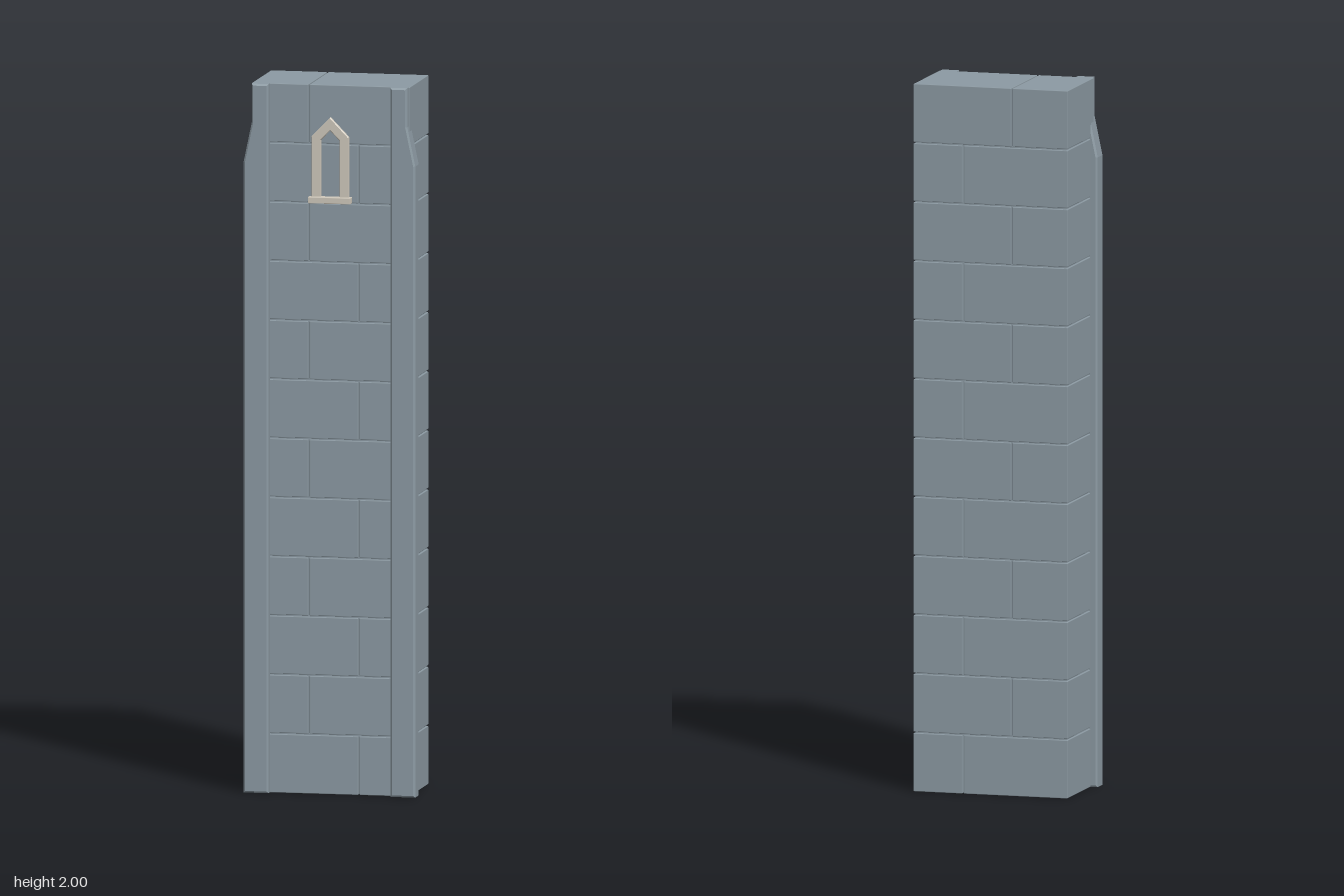
import * as THREE from 'three';
import { RoundedBoxGeometry } from 'three/addons/geometries/RoundedBoxGeometry.js';

const stone = new THREE.MeshStandardMaterial({ color: 0x8c9aa3 });
stone.name = 'blue grey stone';
const trim = new THREE.MeshStandardMaterial({ color: 0xcfc8bb });
trim.name = 'pale limestone';

const HALF_W = 0.225, BACK = -0.138, FRONT = 0.113, ROWS = 12;

function add(parent, name, geometry, material, x = 0, y = 0, z = 0) {
  const mesh = new THREE.Mesh(geometry, material);
  mesh.name = name;
  mesh.position.set(x, y, z);
  parent.add(mesh);
  return mesh;
}

// Outline extruded from z0 to z1, with its chamfer kept inside the outline
function extrude(points, z0, z1, bevel, hole) {
  const shape = new THREE.Shape(points.map(([x, y]) => new THREE.Vector2(x, y)));
  if (hole) shape.holes.push(new THREE.Path(hole.map(([x, y]) => new THREE.Vector2(x, y))));
  const geometry = new THREE.ExtrudeGeometry(shape, {
    depth: z1 - z0 - 2 * bevel, bevelEnabled: bevel > 0,
    bevelThickness: bevel, bevelSize: bevel, bevelOffset: -bevel, bevelSegments: 1,
  });
  return geometry.translate(0, 0, z0 + bevel);
}

// Pointed-arch outline standing on y = base
const arch = (half, base, shoulder, apex) =>
  [[-half, base], [half, base], [half, shoulder], [0, apex], [-half, shoulder]];

export function createModel() {
  const model = new THREE.Group();
  model.name = 'stone wall pillar';
  const depth = FRONT - BACK, midZ = (FRONT + BACK) / 2, rowH = 2 / ROWS, gap = 0.004;

  // Solid core behind the joints
  add(model, 'wallCore', new THREE.BoxGeometry(2 * HALF_W - 0.01, 1.99, depth - 0.01), stone, 0, 1, midZ);

  // Courses of two blocks with staggered joints
  const courses = new THREE.Group();
  courses.name = 'blockCourses';
  model.add(courses);
  for (let row = 0; row < ROWS; row++) {
    const joint = row % 2 ? -0.0625 : 0.08;
    const bottom = row * rowH + (row > 0 ? gap / 2 : 0);
    const top = (row + 1) * rowH - (row < ROWS - 1 ? gap / 2 : 0);
    for (const [x0, x1] of [[-HALF_W, joint - gap / 2], [joint + gap / 2, HALF_W]]) {
      add(courses, 'stoneBlock', new RoundedBoxGeometry(x1 - x0, top - bottom, depth, 1, 0.002),
        stone, (x0 + x1) / 2, (bottom + top) / 2, midZ);
    }
  }

  // Corner buttresses, narrowing near the top
  for (const side of [-1, 1]) {
    const outline = [[0.174, 0], [0.245, 0], [0.245, 1.78], [0.222, 1.89], [0.222, 2], [0.174, 2]]
      .map(([x, y]) => [side * x, y]);
    add(model, side > 0 ? 'leftButtress' : 'rightButtress', extrude(outline, 0.08, 0.135, 0.005), stone);
  }

  // Blind arched window: frame and sill
  const windowGroup = new THREE.Group();
  windowGroup.name = 'archedWindow';
  model.add(windowGroup);
  add(windowGroup, 'windowFrame',
    extrude(arch(0.053, 1.675, 1.855, 1.91), 0.11, 0.124, 0.002, arch(0.027, 1.685, 1.845, 1.873)), trim);
  add(windowGroup, 'windowSill', new RoundedBoxGeometry(0.122, 0.018, 0.03, 1, 0.002), trim, 0, 1.677, 0.122);
  return model;
}
